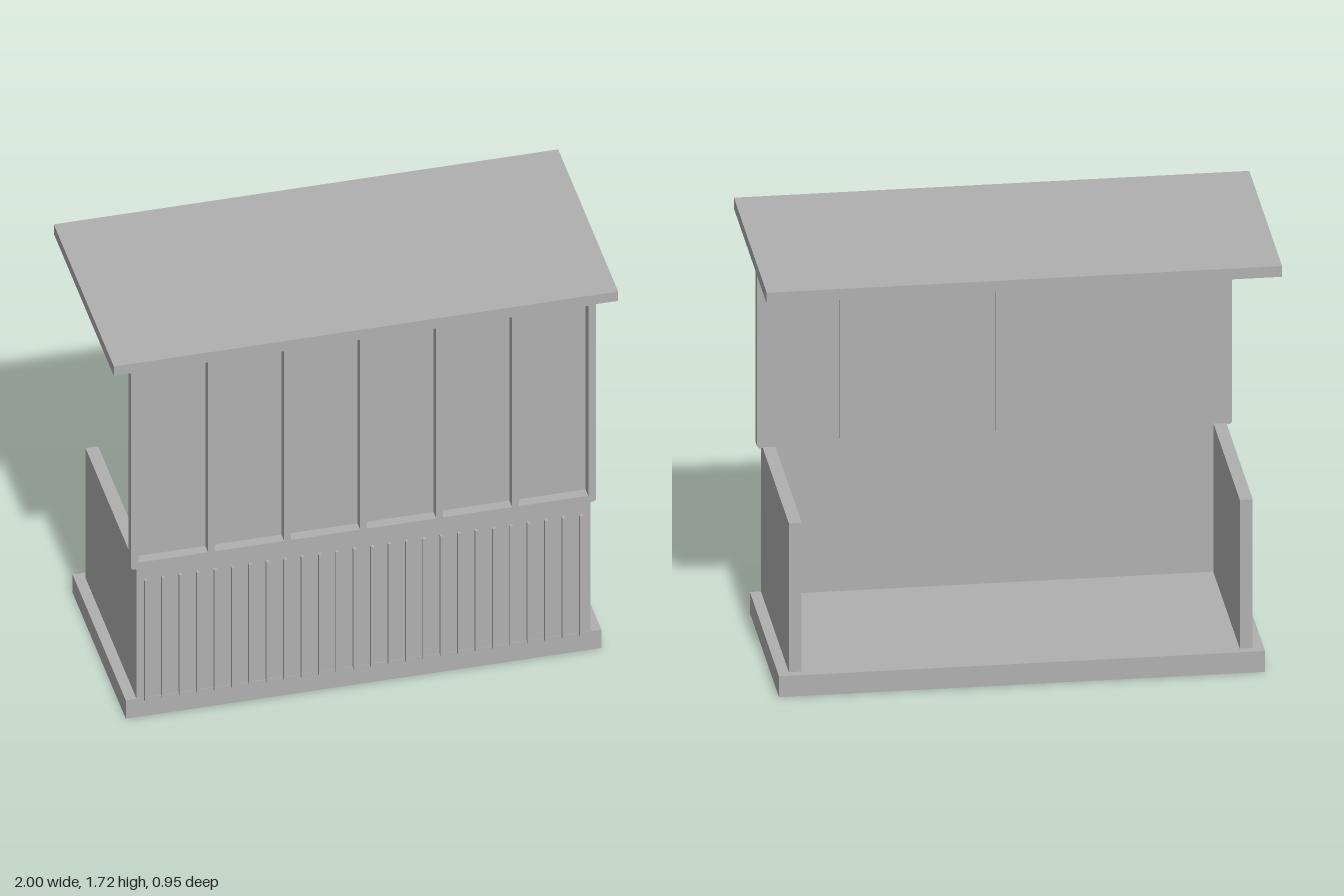
import * as THREE from 'three';

export function createModel() {
  const group = new THREE.Group();
  const grey = new THREE.MeshStandardMaterial({ color: 0xb0b0b0 });
  grey.name = 'plain grey';

  // Box given by its limits on each axis
  function slab(name, x0, x1, y0, y1, z0, z1) {
    const mesh = new THREE.Mesh(new THREE.BoxGeometry(x1 - x0, y1 - y0, z1 - z0), grey);
    mesh.position.set((x0 + x1) / 2, (y0 + y1) / 2, (z0 + z1) / 2);
    mesh.name = name;
    group.add(mesh);
  }

  // Floor, roof and lower walls
  slab('base', -0.943, 0.943, 0, 0.087, -0.405, 0.437);
  slab('roof', -1, 1, 1.675, 1.72, -0.475, 0.475);
  slab('frontPanel', -0.9, 0.9, 0.087, 0.706, 0.4, 0.435);
  slab('rightSideWall', -0.9, -0.85, 0.087, 0.708, -0.37, 0.4);
  slab('leftSideWall', 0.85, 0.9, 0.087, 0.708, -0.37, 0.4);

  // Narrow slats along the lower front
  for (let i = 0; i < 26; i++) {
    const x = -0.865 + i * 0.069;
    slab('slat', x - 0.006, x + 0.006, 0.08, 0.655, 0.435, 0.45);
  }

  // Upper frame with six openings and small cut corners at the bottom
  const frame = new THREE.Shape([
    [-0.913, 0.704], [0.913, 0.704], [0.921, 0.712],
    [0.921, 1.675], [-0.921, 1.675], [-0.921, 0.712],
  ].map(([x, y]) => new THREE.Vector2(x, y)));
  const pitch = 0.3015;
  for (let i = 0; i < 6; i++) {
    const x = (i - 2.5) * pitch;
    const w = 0.1375;
    frame.holes.push(new THREE.Path([
      [x - w, 0.735], [x - w, 1.642], [x + w, 1.642], [x + w, 0.735],
    ].map(([px, py]) => new THREE.Vector2(px, py))));
    // Thin board closing each opening from behind
    slab('backBoard', x - 0.1485, x + 0.1485, 0.728, 1.648, 0.385, 0.392);
  }
  const frameMesh = new THREE.Mesh(
    new THREE.ExtrudeGeometry(frame, { depth: 0.044, bevelEnabled: false }), grey);
  frameMesh.position.z = 0.391;
  frameMesh.name = 'upperFrame';
  group.add(frameMesh);

  return group;
}
